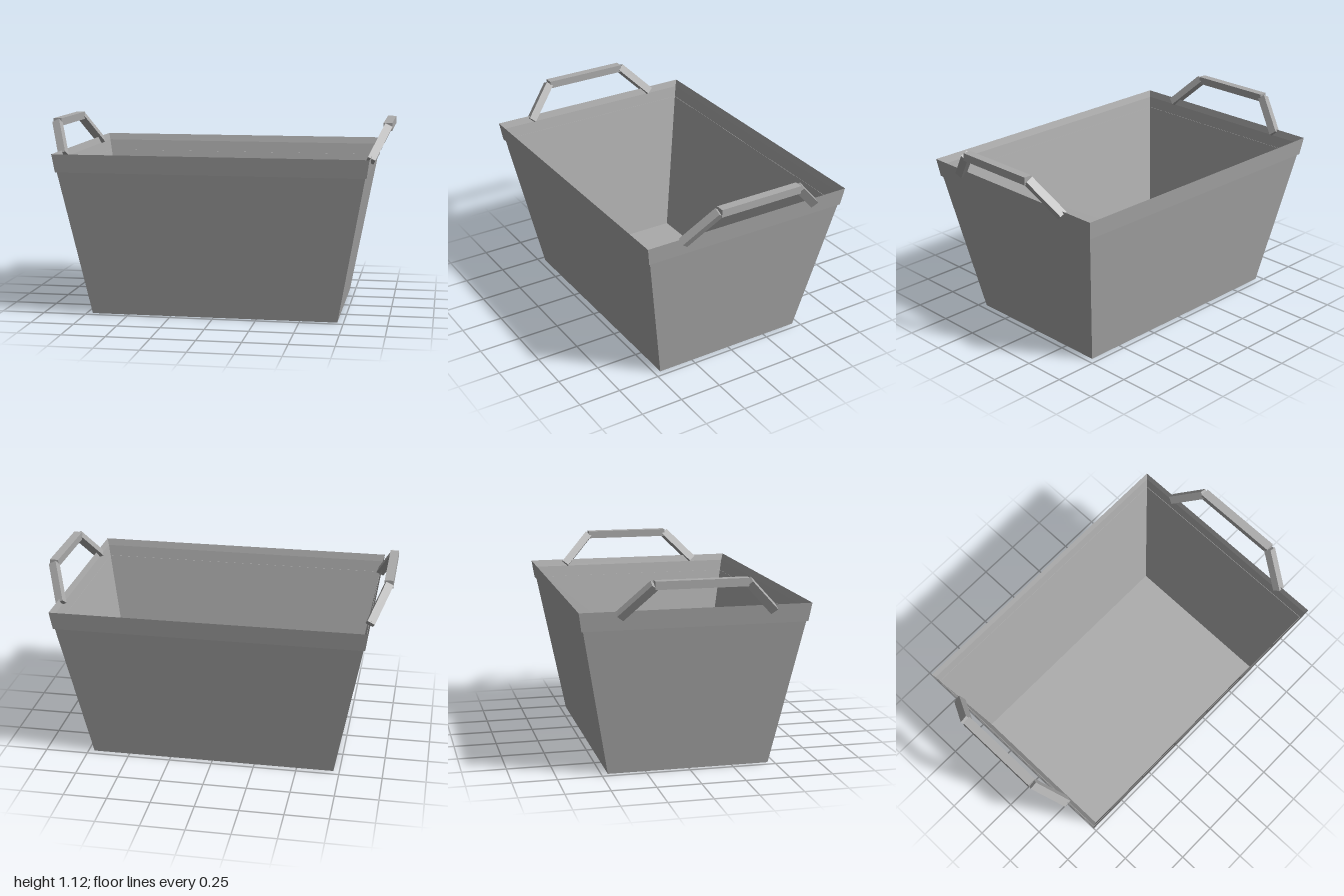
import * as THREE from 'three';

// Rectangular shell lofted through [halfX, y, halfZ] levels
function loft(levels, material, name) {
  const signs = [[1, 1], [1, -1], [-1, -1], [-1, 1]];
  const pos = [];
  for (let l = 0; l < levels.length - 1; l++) {
    for (let i = 0; i < 4; i++) {
      const at = (lev, k) => {
        const [x, y, z] = levels[lev], [sx, sz] = signs[k % 4];
        return [sx * x, y, sz * z];
      };
      const a = at(l, i), b = at(l, i + 1), c = at(l + 1, i + 1), d = at(l + 1, i);
      pos.push(...a, ...b, ...c, ...a, ...c, ...d);
    }
  }
  const geo = new THREE.BufferGeometry();
  geo.setAttribute('position', new THREE.Float32BufferAttribute(pos, 3));
  geo.computeVertexNormals();
  const mesh = new THREE.Mesh(geo, material);
  mesh.name = name;
  return mesh;
}

// Square bar between two points, with one face turned towards `facing`
function bar(from, to, size, facing, material, name) {
  const dir = to.clone().sub(from);
  const mesh = new THREE.Mesh(new THREE.BoxGeometry(size, dir.length(), size), material);
  const y = dir.clone().normalize();
  const z = new THREE.Vector3().crossVectors(facing, y).normalize();
  const x = new THREE.Vector3().crossVectors(y, z);
  mesh.quaternion.setFromRotationMatrix(new THREE.Matrix4().makeBasis(x, y, z));
  mesh.position.copy(from).add(to).multiplyScalar(0.5);
  mesh.name = name;
  return mesh;
}

export function createModel() {
  const group = new THREE.Group();
  group.name = 'basket';
  const grey = new THREE.MeshStandardMaterial({ color: 0xaaaaaa, side: THREE.DoubleSide });
  grey.name = 'grey';

  // Thin tapered walls and floor
  group.add(loft([[0.715, 0, 0.463], [0.882, 0.91, 0.632]], grey, 'walls'));
  const floor = new THREE.Mesh(new THREE.PlaneGeometry(1.43, 0.926), grey);
  floor.rotation.x = -Math.PI / 2;
  floor.name = 'floor';
  group.add(floor);

  // Rim band wrapped around the top of the walls
  group.add(loft([
    [0.868, 0.845, 0.618], [0.878, 0.845, 0.629],
    [0.893, 0.95, 0.645], [0.882, 0.91, 0.632],
  ], grey, 'rim'));

  // Leaning handles, one on each end
  for (const s of [1, -1]) {
    const handle = new THREE.Group();
    handle.name = s > 0 ? 'leftHandle' : 'rightHandle';
    const grip = new THREE.Mesh(new THREE.BoxGeometry(0.05, 0.045, 0.51), grey);
    grip.position.set(s * 0.97, 1.0975, 0);
    grip.name = 'grip';
    handle.add(grip);
    const outward = new THREE.Vector3(s * 0.9, -0.43, 0).normalize();
    for (const e of [1, -1]) {
      handle.add(bar(
        new THREE.Vector3(s * 0.886, 0.922, e * 0.426),
        new THREE.Vector3(s * 0.97, 1.096, e * 0.256),
        0.046, outward, grey, e > 0 ? 'frontHandleLeg' : 'backHandleLeg'));
    }
    group.add(handle);
  }
  return group;
}
